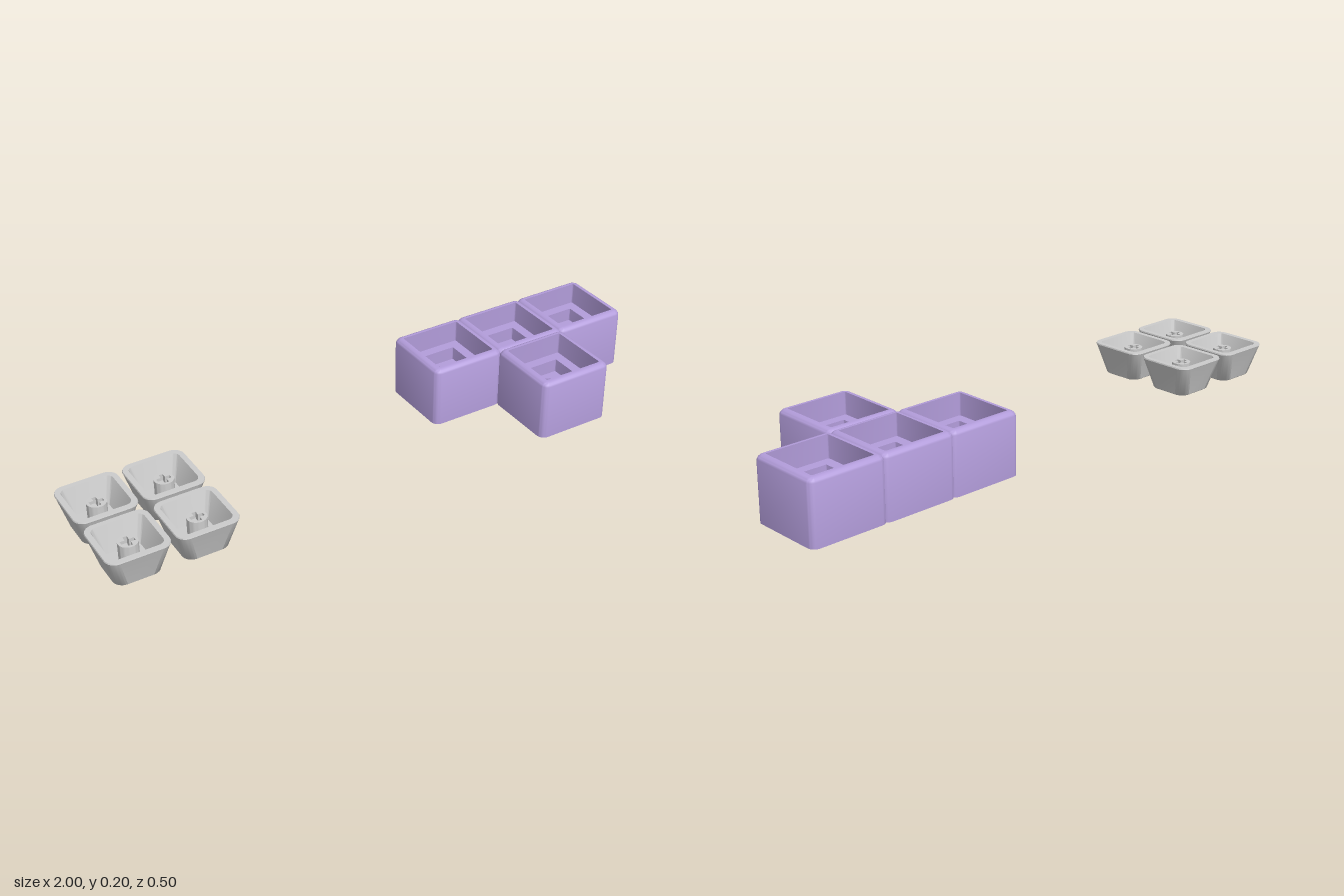
import * as THREE from 'three';
import { toCreasedNormals } from 'three/addons/utils/BufferGeometryUtils.js';

const CORNER = 8; // segments per rounded corner

// One rounded square, w wide with corner radius r, at height y
function ring([w, r, y]) {
  const points = [];
  const c = w / 2 - r;
  for (let q = 0; q < 4; q++) {
    const cx = q === 0 || q === 3 ? c : -c;
    const cz = q < 2 ? c : -c;
    for (let i = 0; i <= CORNER; i++) {
      const a = (q + i / CORNER) * Math.PI / 2;
      points.push([cx + r * Math.cos(a), y, cz + r * Math.sin(a)]);
    }
  }
  return points;
}

// Skin over successive rings, from the underside, up the outside and down into the hollow
function loft(sections) {
  const rings = sections.map(ring);
  const n = rings[0].length;
  const pos = rings.flat(2);
  const index = [];
  for (let k = 0; k < rings.length - 1; k++) {
    for (let i = 0; i < n; i++) {
      const j = (i + 1) % n;
      const a = k * n + i, b = k * n + j, c = a + n, d = b + n;
      index.push(a, c, b, b, c, d);
    }
  }
  // Close the underside and the innermost floor
  const last = (rings.length - 1) * n;
  const first = pos.length / 3;
  pos.push(0, sections[0][2], 0, 0, sections[sections.length - 1][2], 0);
  for (let i = 0; i < n; i++) {
    const j = (i + 1) % n;
    index.push(first, i, j, first + 1, last + j, last + i);
  }
  const geometry = new THREE.BufferGeometry();
  geometry.setAttribute('position', new THREE.Float32BufferAttribute(pos, 3));
  geometry.setIndex(index);
  return toCreasedNormals(geometry, 0.6);
}

// Rounded top edge between the wall and the rim
function fillet(w, corner, top, radius, steps = 5) {
  const sections = [];
  for (let i = 0; i <= steps; i++) {
    const a = (i / steps) * Math.PI / 2;
    const inset = radius * (1 - Math.cos(a));
    sections.push([w - 2 * inset, corner - inset * 0.8, top - radius + radius * Math.sin(a)]);
  }
  return sections;
}

function socketGeometry() {
  return loft([
    [0.26, 0.025, 0],
    ...fillet(0.26, 0.025, 0.203, 0.02),
    [0.21, 0.004, 0.203],
    [0.21, 0.004, 0.13], // upper floor
    [0.144, 0.004, 0.13],
    [0.144, 0.004, 0.085], // square recess
    [0.107, 0.0535, 0.085],
    [0.107, 0.0535, 0.06], // round recess
  ]);
}

function keycapGeometry() {
  return loft([
    [0.14, 0.03, 0],
    [0.147, 0.033, 0.003],
    [0.199, 0.034, 0.1],
    [0.203, 0.035, 0.105],
    [0.2, 0.034, 0.109],
    [0.166, 0.022, 0.109],
    [0.115, 0.012, 0.025],
  ]);
}

// Round post with a cross-shaped slot
function stemGeometry() {
  const shape = new THREE.Shape().absarc(0, 0, 0.031, 0, Math.PI * 2);
  const l = 0.022, t = 0.0065;
  const quarter = [[l, -t], [l, t], [t, t]];
  const cross = [];
  for (let q = 0; q < 4; q++) {
    const c = Math.round(Math.cos(q * Math.PI / 2)), s = Math.round(Math.sin(q * Math.PI / 2));
    for (const [x, y] of quarter) cross.push(new THREE.Vector2(x * c - y * s, x * s + y * c));
  }
  shape.holes.push(new THREE.Path(cross));
  const geometry = new THREE.ExtrudeGeometry(shape, { depth: 0.07, bevelEnabled: false, curveSegments: 24 });
  geometry.rotateX(-Math.PI / 2).translate(0, 0.022, 0);
  return toCreasedNormals(geometry, 0.6);
}

export function createModel() {
  const model = new THREE.Group();
  const purple = new THREE.MeshStandardMaterial({ color: 0xb39ddb });
  const grey = new THREE.MeshStandardMaterial({ color: 0xcccccc });

  // T-shaped holder of four overlapping sockets
  const holder = new THREE.Group();
  holder.name = 'socketHolder';
  const socket = socketGeometry();
  for (const [x, z] of [[0.376, -0.123], [0.622, -0.123], [0.87, -0.123], [0.622, 0.121]]) {
    const mesh = new THREE.Mesh(socket, purple);
    mesh.name = 'socketBlock';
    mesh.position.set(x, 0, z);
    holder.add(mesh);
  }
  model.add(holder);

  // Four upturned keycaps in a square
  const shell = keycapGeometry();
  const stem = stemGeometry();
  for (const x of [-0.898, -0.68]) {
    for (const z of [-0.075, 0.145]) {
      const cap = new THREE.Group();
      cap.name = 'keycap';
      const shellMesh = new THREE.Mesh(shell, grey);
      shellMesh.name = 'keycapShell';
      const stemMesh = new THREE.Mesh(stem, grey);
      stemMesh.name = 'keycapStem';
      cap.add(shellMesh, stemMesh);
      cap.position.set(x, 0, z);
      model.add(cap);
    }
  }
  return model;
}
